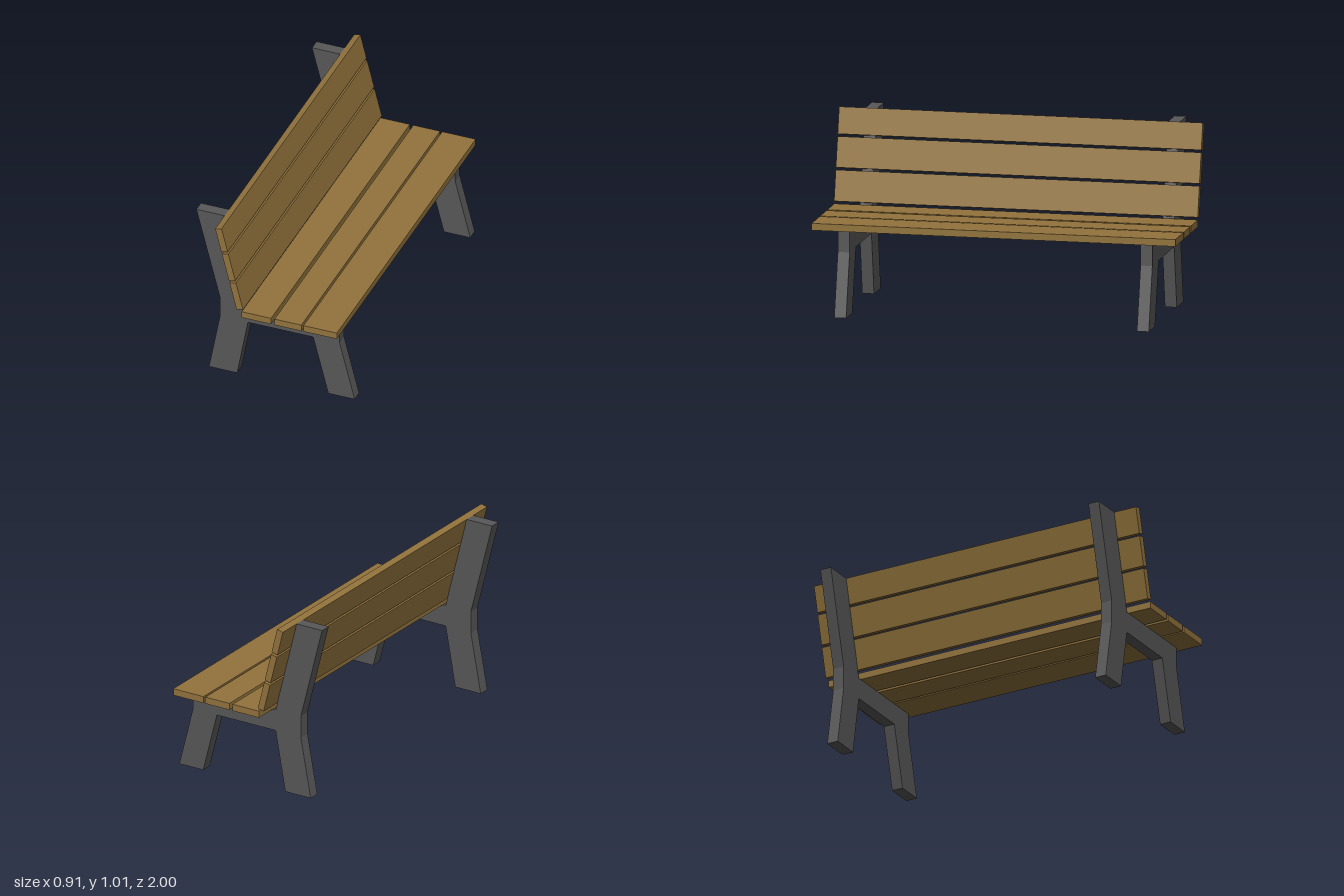
import * as THREE from 'three';

const wood = new THREE.MeshStandardMaterial({ color: 0x92733c, flatShading: true });
const iron = new THREE.MeshStandardMaterial({ color: 0x585858, flatShading: true });

// Side frame outline (x, y): rear leg, seat rail, front leg, back post
const FRAME = [
  [-0.385, 0], [-0.222, 0], [-0.16, 0.343], [0.217, 0.343], [0.305, 0], [0.457, 0],
  [0.37, 0.343], [0.37, 0.463], [-0.16, 0.463], [-0.295, 1], [-0.458, 1],
  [-0.322, 0.467], [-0.322, 0.34],
];
const FRAME_DEPTH = 0.065, FRAME_Z = 0.8325;
const LENGTH = 2, THICK = 0.038;

function slat(name, width, height) {
  const mesh = new THREE.Mesh(new THREE.BoxGeometry(width, height, LENGTH), wood);
  mesh.name = name;
  return mesh;
}

export function createModel() {
  const bench = new THREE.Group();
  bench.name = 'bench';

  // Two identical side frames
  const shape = new THREE.Shape(FRAME.map(([x, y]) => new THREE.Vector2(x, y)));
  const frameGeo = new THREE.ExtrudeGeometry(shape, { depth: FRAME_DEPTH, bevelEnabled: false });
  frameGeo.translate(0, 0, -FRAME_DEPTH / 2);
  for (const side of [1, -1]) {
    const frame = new THREE.Mesh(frameGeo, iron);
    frame.name = side > 0 ? 'frontFrame' : 'backFrame';
    frame.position.z = side * FRAME_Z;
    bench.add(frame);
  }

  // Seat slats, by their x range
  [[-0.142, 0.028], [0.048, 0.203], [0.215, 0.408]].forEach(([a, b], i) => {
    const s = slat(`seatSlat${i + 1}`, b - a, THICK);
    s.position.set((a + b) / 2, 0.463 + THICK / 2, 0);
    bench.add(s);
  });

  // Backrest slats lie along the sloping front edge of the posts, by their y range
  const lean = Math.atan2(0.135, 0.537);
  [[0.507, 0.67], [0.683, 0.845], [0.858, 1]].forEach(([a, b], i) => {
    const s = slat(`backSlat${i + 1}`, THICK, (b - a) / Math.cos(lean));
    const y = (a + b) / 2;
    const edgeX = -0.16 - (y - 0.463) * Math.tan(lean);
    s.position.set(edgeX + Math.cos(lean) * THICK / 2, y + Math.sin(lean) * THICK / 2, 0);
    s.rotation.z = lean;
    bench.add(s);
  });

  return bench;
}
